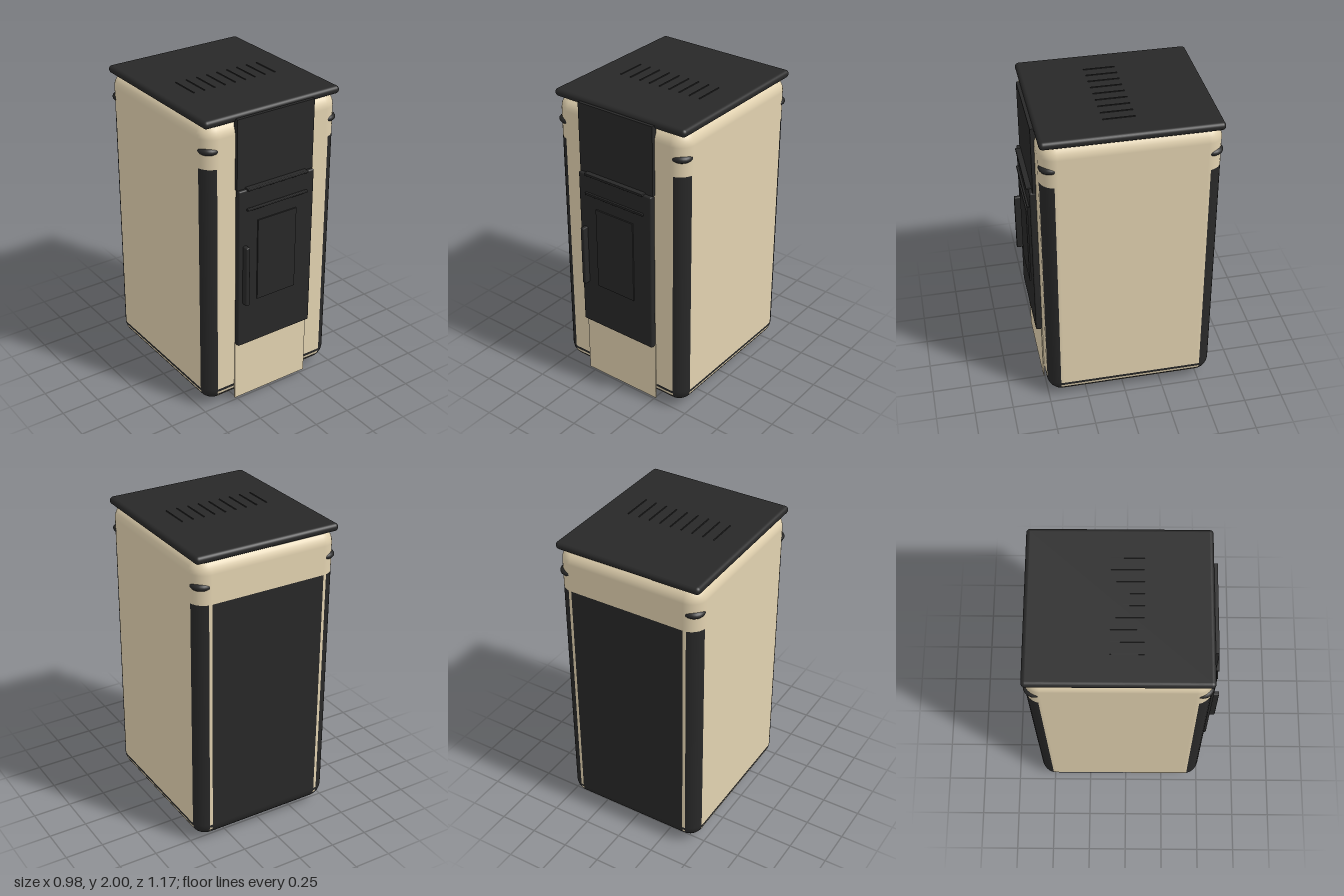
import * as THREE from 'three';
import { RoundedBoxGeometry } from 'three/addons/geometries/RoundedBoxGeometry.js';

const CENTER_Z = -0.04;

// Rounded cabinet shell: group 0 = cream, group 1 = black
function cabinetGeometry(halfW, halfD, y0, y1, r, bandY) {
  const seg = 8;
  const rows = [];
  for (let i = 0; i <= seg; i++) {
    const phi = (i / seg - 1) * Math.PI / 2;
    rows.push([phi, y0 + r + r * Math.sin(phi)]);
  }
  rows.push([0, bandY]);
  for (let i = 0; i <= seg; i++) {
    const phi = (i / seg) * Math.PI / 2;
    rows.push([phi, y1 - r + r * Math.sin(phi)]);
  }
  const signs = [[1, 1], [-1, 1], [-1, -1], [1, -1]];
  const pos = [], nor = [], cream = [], black = [];
  for (const [phi, y] of rows) {
    signs.forEach(([sx, sz], k) => {
      for (let i = 0; i <= seg; i++) {
        const a = (k + i / seg) * Math.PI / 2;
        const nx = Math.cos(phi) * Math.cos(a), nz = Math.cos(phi) * Math.sin(a);
        pos.push(sx * (halfW - r) + r * nx, y, sz * (halfD - r) + r * nz);
        nor.push(nx, Math.sin(phi), nz);
      }
    });
  }
  const cols = 4 * (seg + 1);
  const backCol = 3 * (seg + 1) - 1;
  for (let j = 0; j < rows.length - 1; j++) {
    for (let i = 0; i < cols; i++) {
      const n = (i + 1) % cols;
      const step = i % (seg + 1);
      // Black underside, base stripes, corner strips and back; cream elsewhere
      const underside = j < seg / 2;
      const baseStripe = j < seg && j % 2 === 1;
      const upright = j <= seg && ((step > 0 && step < seg - 1) || i === backCol);
      const a = j * cols + i, b = j * cols + n;
      (underside || baseStripe || upright ? black : cream).push(a, a + cols, b, b, a + cols, b + cols);
    }
  }
  const top = (rows.length - 1) * cols;
  for (let i = 1; i < cols - 1; i++) {
    black.push(0, i, i + 1);
    cream.push(top, top + i + 1, top + i);
  }
  const g = new THREE.BufferGeometry();
  g.setAttribute('position', new THREE.Float32BufferAttribute(pos, 3));
  g.setAttribute('normal', new THREE.Float32BufferAttribute(nor, 3));
  g.setIndex([...cream, ...black]);
  g.addGroup(0, cream.length, 0);
  g.addGroup(cream.length, black.length, 1);
  return g;
}

export function createModel() {
  const model = new THREE.Group();
  model.name = 'stove';

  const cream = new THREE.MeshStandardMaterial({ color: 0xe2d2b0 });
  cream.name = 'cream enamel';
  const black = new THREE.MeshStandardMaterial({ color: 0x282828 });
  black.name = 'black metal';

  function add(name, geometry, material) {
    const mesh = new THREE.Mesh(geometry, material);
    mesh.name = name;
    model.add(mesh);
    return mesh;
  }
  // Box given by its extents, optionally with rounded edges
  function block(name, material, [x0, x1], [y0, y1], [z0, z1], radius = 0) {
    const size = [x1 - x0, y1 - y0, z1 - z0];
    const geometry = radius
      ? new RoundedBoxGeometry(...size, 4, radius)
      : new THREE.BoxGeometry(...size);
    const mesh = add(name, geometry, material);
    mesh.position.set((x0 + x1) / 2, (y0 + y1) / 2, (z0 + z1) / 2);
    return mesh;
  }

  // Cabinet
  const cabinet = add('cabinet', cabinetGeometry(0.485, 0.545, 0.037, 1.97, 0.1, 1.685), [cream, black]);
  cabinet.position.z = CENTER_Z;

  // Lid with vent ribs
  block('lid', black, [-0.486, 0.486], [1.945, 1.995], [-0.585, 0.505], 0.024);
  for (let i = -4; i <= 4; i++) {
    const x = i * 0.074;
    block('ventRib', black, [x - 0.003, x + 0.003], [1.99, 2], [-0.09, 0.105]);
  }

  // Front: upper panel, door and lower plate
  block('upperPanel', black, [-0.28, 0.275], [1.52, 1.97], [0.49, 0.526]);
  block('lowerPlate', cream, [-0.28, 0.275], [0.025, 0.45], [0.504, 0.512]);
  block('door', black, [-0.28, 0.275], [0.44, 1.52], [0.505, 0.546], 0.01);
  block('doorWindow', black, [-0.145, 0.14], [0.75, 1.3], [0.54, 0.555]);

  // Door trim rails and handle
  for (const y of [1.39, 1.522]) {
    block('trimRail', black, [-0.225, 0.22], [y - 0.008, y + 0.008], [0.52, 0.56], 0.004);
  }
  block('doorHandle', black, [-0.25, -0.222], [0.745, 1.15], [0.54, 0.585], 0.007);

  // Corner studs and feet
  for (const sx of [-1, 1]) {
    for (const sz of [-1, 1]) {
      const stud = add('cornerStud', new THREE.SphereGeometry(1, 24, 16), black);
      stud.scale.set(0.068, 0.032, 0.068);
      stud.position.set(sx * 0.42, 1.795, CENTER_Z + sz * 0.48);
    }
    const x = sx * 0.348;
    block('foot', black, [x - 0.038, x + 0.038], [0, 0.06], [-0.125, 0.05], 0.01);
  }

  return model;
}
